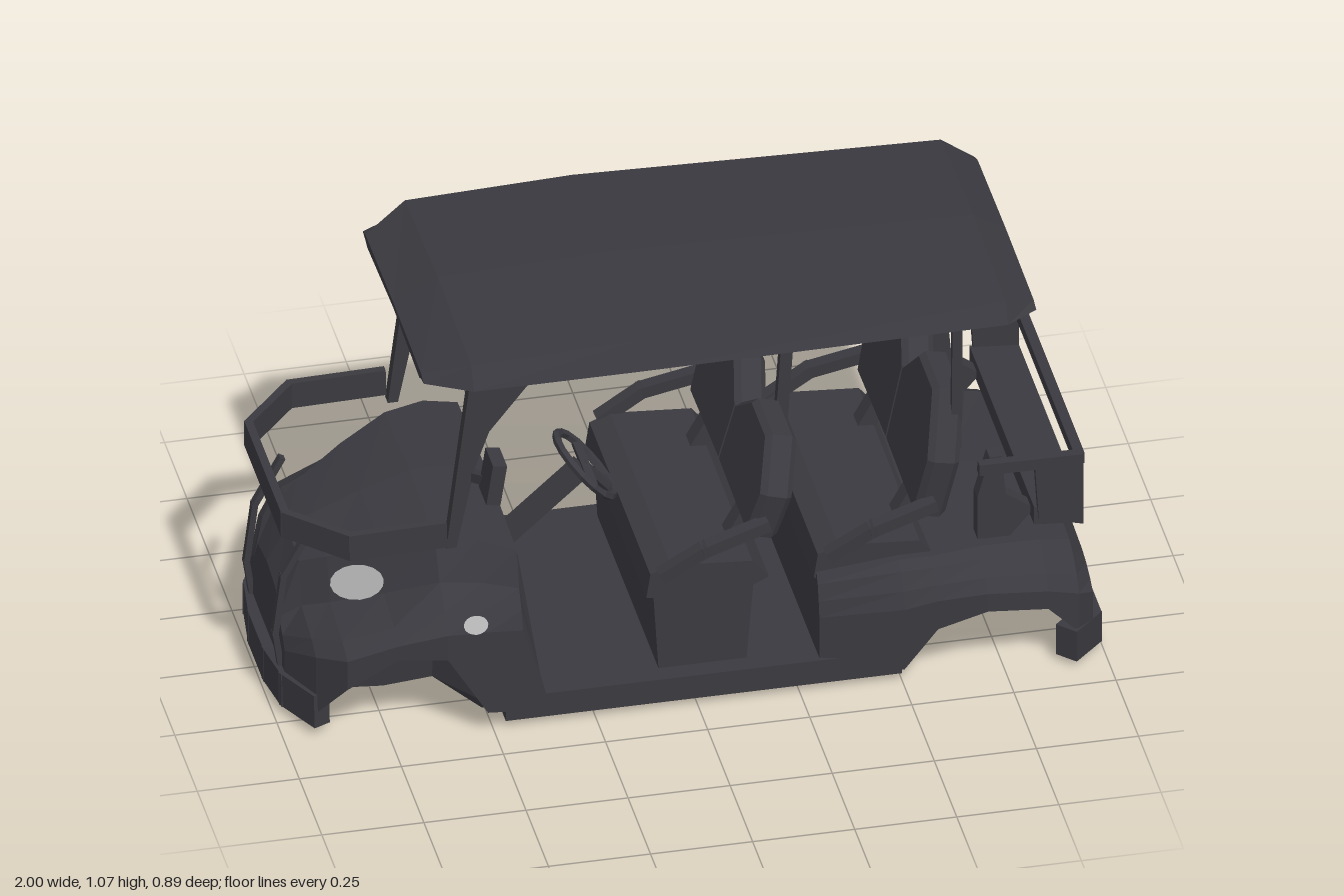
import * as THREE from 'three';

const V = (x, y, z) => new THREE.Vector3(x, y, z);
const mix = THREE.MathUtils.lerp;

export function createModel() {
  const root = new THREE.Group();
  const dark = new THREE.MeshStandardMaterial({ color: 0x3a393f, flatShading: true, side: THREE.DoubleSide });
  dark.name = 'charcoal';
  const lens = new THREE.MeshStandardMaterial({ color: 0xb4b4b4, side: THREE.DoubleSide });
  lens.name = 'lampGrey';

  const add = (name, geo, mat = dark) => {
    const m = new THREE.Mesh(geo, mat);
    m.name = name;
    root.add(m);
    return m;
  };

  // Closed skin through half cross-sections { x, half: [[z, y]...] }, top centre to bottom centre
  const loft = (name, sections) => {
    const pos = [], idx = [];
    const n = (sections[0].half.length - 1) * 2;
    sections.forEach(({ x, half }) => {
      const mirror = half.slice(1, -1).reverse().map(([z, y]) => [-z, y]);
      [...half, ...mirror].forEach(([z, y]) => pos.push(x, y, z));
    });
    for (let i = 0; i < sections.length - 1; i++)
      for (let j = 0; j < n; j++) {
        const a = i * n + j, b = i * n + (j + 1) % n;
        idx.push(a, b, a + n, b, b + n, a + n);
      }
    const last = (sections.length - 1) * n;
    for (let j = 1; j < n - 1; j++) idx.push(0, j + 1, j, last, last + j, last + j + 1);
    const g = new THREE.BufferGeometry();
    g.setAttribute('position', new THREE.Float32BufferAttribute(pos, 3));
    g.setIndex(idx);
    const flat = g.toNonIndexed();
    flat.computeVertexNormals();
    add(name, flat);
  };

  // Roof slice: crown height, half width, with a hollow underside inside the lip
  const roofSlice = (x, top, w) => {
    const under = Math.max(top - 0.022, 0.98);
    return { x, half: [[0, top], [w - 0.03, Math.max(top - 0.016, 0.99)], [w, 0.98], [w - 0.03, 0.975],
      [w - 0.05, under - 0.014], [0, under]] };
  };

  // Body slice: crown, shoulder half width, fender half width and height, arch lip, underside;
  // flank = [across, down] of the crease between shoulder and fender
  const bodySlice = (flank, x, top, shoulder, w, fender, arch, low) => {
    const inner = arch > 0.12 ? 0.27 : w - 0.05;
    const side = (across, down) => [mix(shoulder, w, across), mix(top - 0.015, fender, down)];
    return { x, half: [[0, top], side(0, 0), side(...flank), side(0.75, (1 + flank[1]) / 2),
      side(1, 1), [w, arch], [inner, arch], [inner - 0.02, low], [0, low]] };
  };

  // Box between two points, and runs of them
  const bar = (name, a, b, w, h) => {
    const m = add(name, new THREE.BoxGeometry(w, h, a.distanceTo(b) + w * 0.5));
    m.position.copy(a).add(b).multiplyScalar(0.5);
    m.lookAt(b);
  };
  const chain = (name, pts, w, h) => {
    for (let i = 0; i < pts.length - 1; i++) bar(name, pts[i], pts[i + 1], w, h);
  };
  // Run of bars mirrored across the centre line
  const wrap = (name, half, w, h) =>
    chain(name, [...half, ...half.map(p => V(p.x, p.y, -p.z)).reverse()], w, h);

  // Side profile [x, y] extruded across z
  const slab = (name, pts, zMid, width) => {
    const s = new THREE.Shape(pts.map(p => new THREE.Vector2(...p)));
    const g = new THREE.ExtrudeGeometry(s, { depth: width, bevelEnabled: false });
    add(name, g.translate(0, 0, zMid - width / 2));
  };

  // Canopy with ribs beneath
  loft('roof', [
    roofSlice(-0.66, 0.995, 0.34),
    roofSlice(-0.55, 1.05, 0.4),
    roofSlice(-0.14, 1.065, 0.4),
    roofSlice(0.76, 1.045, 0.39),
    roofSlice(0.84, 0.995, 0.34),
  ]);
  for (const x of [-0.45, -0.05, 0.32, 0.66]) bar('roofRib', V(x, 1.005, -0.34), V(x, 1.005, 0.34), 0.025, 0.03);

  // Nose, hood, front fenders with open wheel arches, and dash
  const steep = [0.15, 0.7], slope = [0.37, 0.5], round = [0.37, 0.2];
  loft('frontBody', [
    bodySlice(slope, -0.97, 0.30, 0.10, 0.20, 0.17, 0.07, 0.04),
    bodySlice(steep, -0.92, 0.39, 0.13, 0.32, 0.22, 0.06, 0.05),
    bodySlice(steep, -0.86, 0.42, 0.17, 0.40, 0.25, 0.17, 0.08),
    bodySlice(steep, -0.74, 0.47, 0.23, 0.42, 0.29, 0.25, 0.07),
    bodySlice(slope, -0.62, 0.51, 0.28, 0.43, 0.31, 0.24, 0.08),
    bodySlice(slope, -0.52, 0.51, 0.31, 0.42, 0.30, 0.07, 0.04),
    bodySlice(slope, -0.43, 0.48, 0.33, 0.40, 0.28, 0.05, 0.02),
    bodySlice(slope, -0.37, 0.10, 0.33, 0.39, 0.08, 0.05, 0.02),
  ]);

  // Rear seat plinth, rear fenders and tail
  loft('rearBody', [
    bodySlice(round, 0.30, 0.32, 0.35, 0.38, 0.20, 0.05, 0.02),
    bodySlice(round, 0.50, 0.34, 0.36, 0.42, 0.22, 0.05, 0.02),
    bodySlice(round, 0.58, 0.34, 0.36, 0.43, 0.24, 0.16, 0.07),
    bodySlice(round, 0.70, 0.345, 0.35, 0.44, 0.25, 0.20, 0.10),
    bodySlice(round, 0.85, 0.33, 0.33, 0.43, 0.23, 0.18, 0.11),
    bodySlice(round, 0.93, 0.30, 0.30, 0.41, 0.20, 0.09, 0.08),
    bodySlice(round, 0.97, 0.24, 0.26, 0.38, 0.18, 0.10, 0.09),
  ]);

  slab('floor', [[-0.47, 0.02], [0.5, 0.02], [0.5, 0.085], [-0.47, 0.085]], 0, 0.78);

  // Bumpers and front basket rail
  wrap('frontBumper', [V(-0.91, 0.07, -0.31), V(-0.96, 0.065, -0.2), V(-0.975, 0.06, -0.08)], 0.045, 0.09);
  slab('frontSkid', [[-0.97, 0], [-0.93, 0.01], [-0.93, 0.06], [-0.98, 0.06]], 0.03, 0.2);
  wrap('rearBumper', [V(0.91, 0.06, -0.395), V(0.967, 0.06, -0.34)], 0.06, 0.085);
  wrap('frontRail', [V(-0.61, 0.545, -0.34), V(-0.84, 0.54, -0.34), V(-0.97, 0.535, -0.2)], 0.02, 0.07);

  // Seat row: cushion, twin tilted backs, brackets and armrests
  const seatRow = (label, x, y, tilt, height) => {
    slab(label + 'Cushion', [[x, y], [x + 0.01, y + 0.065], [x + 0.06, y + 0.085],
      [x + 0.26, y + 0.07], [x + 0.3, y + 0.02], [x + 0.2, y - 0.03]], 0, 0.68);
    for (const s of [1, -1]) {
      const back = new THREE.Shape([[0.005, 0.02], [0.31, 0], [0.33, 0.5], [0.25, 1], [0.1, 1], [0.005, 0.68]]
        .map(([z, h]) => new THREE.Vector2(-s * z, h * height)));
      const g = new THREE.ExtrudeGeometry(back, { depth: 0.05, bevelSize: 0.012, bevelThickness: 0.015, bevelSegments: 1 });
      add(label + 'Back', g.rotateY(Math.PI / 2).rotateZ(-tilt)).position.set(x + 0.265, y + 0.14, 0);
      chain(label + 'Armrest', [V(x + 0.04, y + 0.07, s * 0.35), V(x + 0.14, y + 0.13, s * 0.355),
        V(x + 0.29, y + 0.17, s * 0.34)], 0.035, 0.03);
      bar(label + 'Bracket', V(x + 0.22, y + 0.03, s * 0.2), V(x + 0.31, y + 0.19, s * 0.2), 0.05, 0.04);
    }
  };
  slab('frontSeatBase', [[-0.1, 0.33], [-0.085, 0.08], [0.13, 0.08], [0.15, 0.33]], 0, 0.68);
  seatRow('frontSeat', -0.115, 0.29, 0.27, 0.225);
  seatRow('rearSeat', 0.295, 0.29, 0.2, 0.3);

  // Oval lamp lying in the plane of u and v, just off the bodywork
  const lamp = (name, s, c, u, v, ru, rv) => {
    const n = u.clone().cross(v).normalize().multiplyScalar(s);
    u.normalize();
    const g = new THREE.CircleGeometry(1, 16).scale(ru, rv, 1);
    g.applyMatrix4(new THREE.Matrix4().makeBasis(u, n.clone().cross(u), n));
    add(name, g, lens).position.copy(c).addScaledVector(n, 0.012);
  };

  // Paired parts on both sides
  for (const s of [1, -1]) {
    slab('windscreenPillar', [[-0.605, 0.5], [-0.58, 0.5], [-0.535, 0.72], [-0.5, 0.82], [-0.37, 0.985],
      [-0.38, 1.02], [-0.54, 1.02]], s * 0.325, 0.03);
    const mirror = add('mirror', new THREE.BoxGeometry(0.035, 0.11, 0.085));
    mirror.position.set(-0.505, 0.735, s * 0.405);
    mirror.rotation.z = -0.15;
    bar('mirrorArm', V(-0.54, 0.69, s * 0.32), V(-0.51, 0.71, s * 0.38), 0.025, 0.025);
    bar('rearPost', V(0.656, 0.58, s * 0.28), V(0.66, 1.02, s * 0.28), 0.014, 0.025);
    chain('noseGuard', [V(-0.9, 0.48, s * 0.16), V(-0.965, 0.36, s * 0.16), V(-0.985, 0.2, s * 0.16),
      V(-0.965, 0.06, s * 0.16)], 0.02, 0.015);
    lamp('headlight', s, V(-0.795, 0.362, s * 0.226), V(0.12, 0.04, s * 0.06), V(0, 0.11, s * -0.033), 0.069, 0.044);
    lamp('sideLamp', s, V(-0.55, 0.32, s * 0.412), V(1, 0, 0), V(0, 0.042, s * -0.025), 0.03, 0.023);
    slab('rackSide', [[0.84, 0.4], [0.95, 0.37], [0.95, 0.56], [0.83, 0.56]], s * 0.36, 0.016);
    slab('rackStay', [[0.7, 0.33], [0.78, 0.33], [0.84, 0.4], [0.77, 0.45], [0.76, 0.56], [0.73, 0.56], [0.7, 0.45]],
      s * 0.3, 0.04);
  }
  bar('middlePost', V(0.284, 0.46, 0), V(0.32, 1.02, 0), 0.024, 0.03);

  // Rear rack rail and foot plate
  wrap('rackRail', [V(0.70, 0.56, -0.36), V(0.94, 0.557, -0.36)], 0.025, 0.03);
  slab('rackPlate', [[0.83, 0.38], [0.95, 0.37], [0.95, 0.42], [0.83, 0.43]], 0, 0.72);

  // Steering column and wheel on the left
  bar('steeringColumn', V(-0.44, 0.42, 0.2), V(-0.25, 0.59, 0.2), 0.04, 0.045);
  const wheel = add('steeringWheel', new THREE.TorusGeometry(0.1, 0.011, 5, 16));
  wheel.position.set(-0.235, 0.6, 0.2);
  wheel.lookAt(V(0.515, 1.26, 0.2));
  bar('wheelSpoke', V(-0.235, 0.6, 0.105), V(-0.235, 0.6, 0.295), 0.02, 0.015);
  bar('wheelSpoke', V(-0.235, 0.6, 0.2), V(-0.17, 0.526, 0.2), 0.02, 0.015);

  return root;
}
